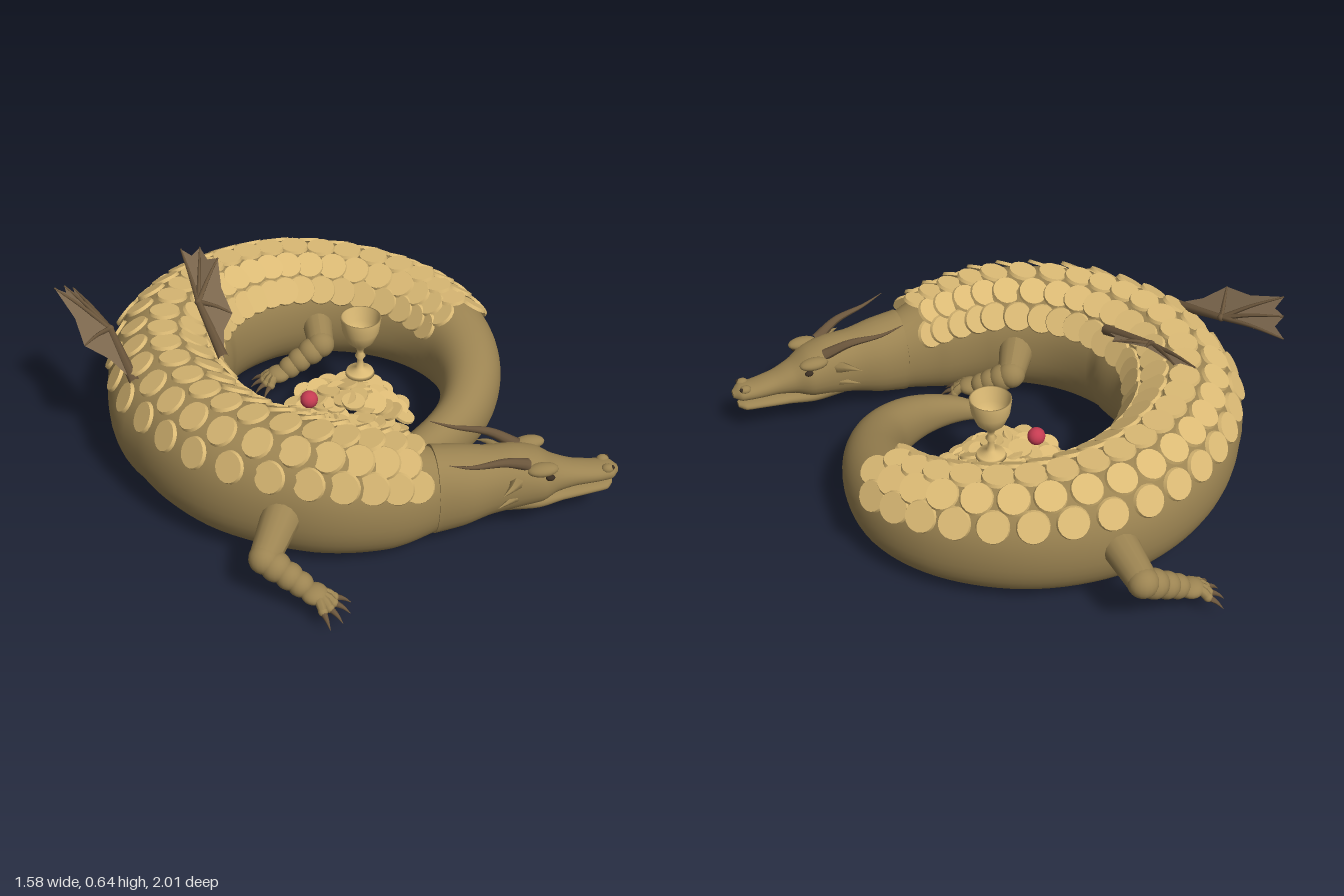
import * as THREE from 'three';
import { mergeGeometries } from 'three/addons/utils/BufferGeometryUtils.js';

const V = (x, y, z) => new THREE.Vector3(x, y, z);
const UP = V(0, 1, 0);
const lerp = THREE.MathUtils.lerp;

function makeMaterials() {
  const make = (name, color, side = THREE.FrontSide) => {
    const m = new THREE.MeshStandardMaterial({ color, side });
    m.name = name;
    return m;
  };
  return {
    hide: make('hide', 0x9c8452),
    gold: make('gold', 0xdab974, THREE.DoubleSide),
    wing: make('wing membrane', 0x7f6a50, THREE.DoubleSide),
    horn: make('horn', 0x6b563c),
    dark: make('dark', 0x3a2e22),
    gem: make('gem', 0xc63c52),
  };
}

// Closed skin over oval rings; each ring has centre c, side axis, half width w, half height h
function loft(rings, n = 32, power = 1) {
  const pos = [], idx = [];
  const bend = (v) => Math.sign(v) * Math.abs(v) ** power;
  const addRing = (r) => {
    for (let j = 0; j < n; j++) {
      const a = (j / n) * Math.PI * 2;
      const p = r.c.clone().addScaledVector(r.side, r.w * bend(Math.cos(a))).addScaledVector(UP, r.h * bend(Math.sin(a)));
      pos.push(p.x, p.y, p.z);
    }
  };
  rings.forEach(addRing);
  for (let i = 0; i < rings.length - 1; i++) {
    for (let j = 0; j < n; j++) {
      const a = i * n + j, b = i * n + (j + 1) % n;
      idx.push(a, b, a + n, b, b + n, a + n);
    }
  }
  // End caps have their own corners so the rims stay sharp
  for (const end of [0, rings.length - 1]) {
    const base = pos.length / 3;
    addRing(rings[end]);
    pos.push(rings[end].c.x, rings[end].c.y, rings[end].c.z);
    for (let j = 0; j < n; j++) {
      const a = base + j, b = base + (j + 1) % n;
      idx.push(...(end ? [base + n, a, b] : [base + n, b, a]));
    }
  }
  const g = new THREE.BufferGeometry();
  g.setAttribute('position', new THREE.Float32BufferAttribute(pos, 3));
  g.setIndex(idx);
  g.computeVertexNormals();
  return g;
}

// Tube along points whose radius runs from r0 to r1
function taper(points, r0, r1, steps = 10, sides = 10) {
  const curve = new THREE.CatmullRomCurve3(points);
  const g = new THREE.TubeGeometry(curve, steps, r0, sides);
  const p = g.attributes.position, v = V(0, 0, 0);
  for (let i = 0; i <= steps; i++) {
    const c = curve.getPointAt(i / steps);
    for (let j = 0; j <= sides; j++) {
      const k = i * (sides + 1) + j;
      v.fromBufferAttribute(p, k).sub(c).multiplyScalar(lerp(1, r1 / r0, i / steps)).add(c);
      p.setXYZ(k, v.x, v.y, v.z);
    }
  }
  g.computeVertexNormals();
  return g;
}

const ball = (c, rx, ry = rx, rz = rx) => new THREE.SphereGeometry(1, 18, 12).scale(rx, ry, rz).translate(c.x, c.y, c.z);

export function createModel() {
  const root = new THREE.Group();
  const mat = makeMaterials();
  const add = (name, geometry, material, parent = root) => {
    const mesh = new THREE.Mesh(Array.isArray(geometry) ? mergeGeometries(geometry) : geometry, material);
    mesh.name = name;
    parent.add(mesh);
    return mesh;
  };

  // Coiled body, neck to tail tip: x, z, half width, top height
  const spine = [
    [-0.13, 0.58, 0.11, 0.36], [-0.26, 0.49, 0.15, 0.42], [-0.41, 0.33, 0.18, 0.47], [-0.52, 0.05, 0.2, 0.49],
    [-0.5, -0.22, 0.21, 0.5], [-0.37, -0.46, 0.21, 0.5], [-0.15, -0.6, 0.21, 0.5], [0.08, -0.635, 0.205, 0.49],
    [0.32, -0.57, 0.195, 0.47], [0.52, -0.38, 0.175, 0.44], [0.62, -0.12, 0.158, 0.41], [0.6, 0.1, 0.14, 0.37],
    [0.48, 0.27, 0.115, 0.32], [0.3, 0.365, 0.09, 0.26], [0.1, 0.36, 0.07, 0.2], [-0.06, 0.28, 0.045, 0.13],
    [-0.15, 0.16, 0.012, 0.06],
  ];
  const floor = (i) => (i === 0 ? 0.04 : i > 11 ? 0.025 : 0.008);
  const path = new THREE.CatmullRomCurve3(spine.map(([x, z, , top], i) => V(x, (top + floor(i)) / 2, z)));
  const sizes = new THREE.CatmullRomCurve3(spine.map(([, , w, top], i) => V(w, (top - floor(i)) / 2, 0)));
  const section = (t) => {
    const tan = path.getTangent(t).setY(0).normalize();
    const s = sizes.getPoint(t);
    return { c: path.getPoint(t), tan, side: V(tan.z, 0, -tan.x), w: s.x, h: s.y };
  };
  add('body', loft(Array.from({ length: 121 }, (_, i) => section(i / 120)), 40, 0.93), mat.hide);

  // Overlapping back scales in five staggered rows
  const scales = [];
  const rows = [36, 62, 90, 118, 144];
  for (let i = 0; i < 29; i++) {
    rows.forEach((deg, r) => {
      const f = (i + (r % 2) * 0.5) / 29;
      const s = section(lerp(0.035, 0.7, f));
      const a = THREE.MathUtils.degToRad(deg);
      const n = s.side.clone().multiplyScalar(Math.cos(a) / s.w).addScaledVector(UP, Math.sin(a) / s.h).normalize();
      const p = s.c.clone().addScaledVector(s.side, s.w * Math.cos(a)).addScaledVector(UP, s.h * Math.sin(a)).addScaledVector(n, 0.01);
      n.addScaledVector(s.tan, lerp(0.28, -0.06, f)).normalize();
      const q = new THREE.Quaternion().setFromUnitVectors(UP, n);
      scales.push(new THREE.CylinderGeometry(0.052, 0.056, 0.012, 18).applyQuaternion(q).translate(p.x, p.y, p.z));
    });
  }
  add('backScales', scales, mat.gold);

  // Head, built facing +z and then turned
  const head = new THREE.Group();
  head.name = 'head';
  head.position.set(-0.13, 0, 0.58);
  head.rotation.y = 0.945;
  root.add(head);
  const profile = (list) => {
    const pts = new THREE.CatmullRomCurve3(list.map(([s, , lo, hi]) => V(0, (lo + hi) / 2, s)));
    const dims = new THREE.CatmullRomCurve3(list.map(([, w, lo, hi]) => V(w, (hi - lo) / 2, 0)));
    return loft(Array.from({ length: 49 }, (_, i) => {
      const d = dims.getPoint(i / 48);
      return { c: pts.getPoint(i / 48), side: V(1, 0, 0), w: d.x, h: d.y };
    }), 28, 0.92);
  };
  add('skull', profile([
    [0, 0.115, 0.035, 0.37], [0.1, 0.115, 0.055, 0.355], [0.2, 0.1, 0.085, 0.335], [0.29, 0.1, 0.1, 0.33],
    [0.37, 0.098, 0.115, 0.305], [0.43, 0.07, 0.14, 0.265], [0.5, 0.055, 0.152, 0.235], [0.58, 0.05, 0.155, 0.218],
    [0.63, 0.046, 0.158, 0.215], [0.66, 0.016, 0.17, 0.195],
  ]), mat.hide, head);
  add('lowerJaw', profile([
    [0.25, 0.07, 0.09, 0.2], [0.36, 0.075, 0.092, 0.165], [0.46, 0.053, 0.1, 0.148],
    [0.56, 0.045, 0.108, 0.147], [0.62, 0.038, 0.112, 0.147], [0.645, 0.014, 0.122, 0.142],
  ]), mat.hide, head);
  for (const s of [-1, 1]) {
    add('brow', ball(V(s * 0.075, 0.285, 0.36), 0.03, 0.022, 0.055), mat.hide, head);
    add('eye', ball(V(s * 0.089, 0.257, 0.385), 0.012, 0.011, 0.016), mat.dark, head);
    add('nostrilBump', ball(V(s * 0.026, 0.208, 0.615), 0.018, 0.016, 0.022), mat.hide, head);
    add('nostril', ball(V(s * 0.031, 0.213, 0.63), 0.008), mat.dark, head);
    add('horn', taper([V(s * 0.055, 0.3, 0.31), V(s * 0.085, 0.345, 0.22), V(s * 0.11, 0.365, 0.1), V(s * 0.12, 0.395, 0.02)], 0.022, 0.001, 14), mat.horn, head);
    add('ear', taper([V(s * 0.08, 0.25, 0.27), V(s * 0.13, 0.265, 0.235), V(s * 0.155, 0.26, 0.2)], 0.026, 0.001, 6, 6), mat.hide, head);
    add('cheekSpike', taper([V(s * 0.08, 0.19, 0.28), V(s * 0.12, 0.18, 0.2)], 0.018, 0.001, 4, 6), mat.hide, head);
  }

  // Legs: hip, knee, ankle, toe tips
  const legs = {
    outerFrontLeg: [V(-0.57, 0.25, 0.32), V(-0.735, 0.18, 0.385), V(-0.69, 0.11, 0.51), V(-0.65, 0.05, 0.66)],
    innerFrontLeg: [V(-0.33, 0.25, 0.17), V(-0.2, 0.21, 0.12), V(-0.155, 0.15, 0.23), V(-0.13, 0.09, 0.38)],
    outerHindLeg: [V(0.42, 0.25, -0.62), V(0.55, 0.21, -0.81), V(0.42, 0.12, -0.88), V(0.31, 0.06, -0.98)],
    innerHindLeg: [V(0.42, 0.26, -0.47), V(0.26, 0.19, -0.28), V(0.14, 0.11, -0.34), V(0.01, 0.06, -0.4)],
  };
  for (const [name, [hip, knee, ankle, toe]] of Object.entries(legs)) {
    const leg = new THREE.Group();
    leg.name = name;
    root.add(leg);
    const flesh = [taper([hip, knee], 0.07, 0.05, 6, 16), ball(knee, 0.052), taper([knee, ankle], 0.045, 0.034, 6, 16)];
    for (const f of [0.3, 0.65, 0.95]) flesh.push(ball(knee.clone().lerp(ankle, f), lerp(0.055, 0.042, f)));
    const reach = toe.clone().sub(ankle);
    const palm = ankle.clone().addScaledVector(reach, 0.28);
    flesh.push(ball(palm, 0.045, 0.03, 0.045));
    const claws = [];
    for (const a of [-0.65, -0.22, 0.22, 0.65]) {
      const d = reach.clone().applyAxisAngle(UP, a);
      const tip = palm.clone().addScaledVector(d, 0.4);
      flesh.push(taper([palm, palm.clone().addScaledVector(d, 0.25).add(V(0, 0.012, 0)), tip], 0.02, 0.015, 6, 8), ball(tip, 0.016));
      claws.push(taper([tip, tip.clone().addScaledVector(d, 0.2), tip.clone().addScaledVector(d, 0.36).add(V(0, -0.012, 0))], 0.013, 0.001, 5, 7));
    }
    add('limb', flesh, mat.hide, leg);
    add('claws', claws, mat.horn, leg);
  }

  // Wings: arm bone, finger bones and a membrane scalloped between finger tips
  const wings = {
    outerWing: [V(-0.61, 0.45, -0.34), V(-0.515, 0.52, -0.57),
      [V(-0.46, 0.55, -0.83), V(-0.52, 0.6, -0.8), V(-0.585, 0.635, -0.77), V(-0.67, 0.55, -0.52)]],
    innerWing: [V(-0.315, 0.46, -0.21), V(-0.21, 0.54, -0.44),
      [V(-0.075, 0.605, -0.67), V(-0.035, 0.62, -0.61), V(-0.06, 0.635, -0.49), V(-0.17, 0.53, -0.31)]],
  };
  for (const [name, [base, wrist, tips]] of Object.entries(wings)) {
    const wing = new THREE.Group();
    wing.name = name;
    root.add(wing);
    const rim = [];
    [...tips, base].forEach((p, i, all) => {
      rim.push(p);
      if (i < all.length - 1) rim.push(p.clone().lerp(all[i + 1], 0.5).lerp(wrist, 0.14));
    });
    const tri = [];
    for (let i = 0; i < rim.length - 1; i++) tri.push(wrist, rim[i], rim[i + 1]);
    const skin = new THREE.BufferGeometry().setFromPoints(tri);
    skin.computeVertexNormals();
    add('membrane', skin, mat.wing, wing);
    const bones = tips.map((t) => taper([wrist, wrist.clone().lerp(t, 0.5).add(V(0, 0.008, 0)), t], 0.01, 0.003, 6, 7));
    bones.push(taper([base, wrist], 0.02, 0.012, 6, 8), ball(wrist, 0.014));
    add('bones', bones, mat.horn, wing);
  }

  // Coin mound
  let seed = 7;
  const rand = () => (seed = (seed * 16807) % 2147483647) / 2147483647;
  const coins = [];
  for (let i = 0; i < 95; i++) {
    const f = Math.sqrt((i + 0.5) / 95), a = i * 2.39996;
    const y = 0.02 + 0.15 * (1 - f) * (0.35 + 0.65 * rand()) + 0.03 * rand();
    coins.push(new THREE.CylinderGeometry(0.043, 0.043, 0.011, 18)
      .rotateX((rand() - 0.5) * 0.9).rotateZ((rand() - 0.5) * 0.9)
      .translate(0.13 + 0.23 * f * Math.cos(a), y, -0.04 + 0.22 * f * Math.sin(a)));
  }
  add('coins', coins, mat.gold);

  // Goblet and gem resting on the coins
  const cup = [[0, 0.185], [0.055, 0.185], [0.05, 0.198], [0.014, 0.21], [0.011, 0.25], [0.02, 0.265], [0.011, 0.28], [0.015, 0.3],
    [0.05, 0.335], [0.068, 0.38], [0.075, 0.435], [0.069, 0.435], [0.06, 0.38], [0.04, 0.34], [0, 0.325]];
  const goblet = add('goblet', new THREE.LatheGeometry(cup.map(([x, y]) => new THREE.Vector2(x, y)), 28), mat.gold);
  goblet.position.set(0.225, 0, -0.05);
  add('gem', ball(V(0.01, 0.15, -0.11), 0.033), mat.gem);
  return root;
}
